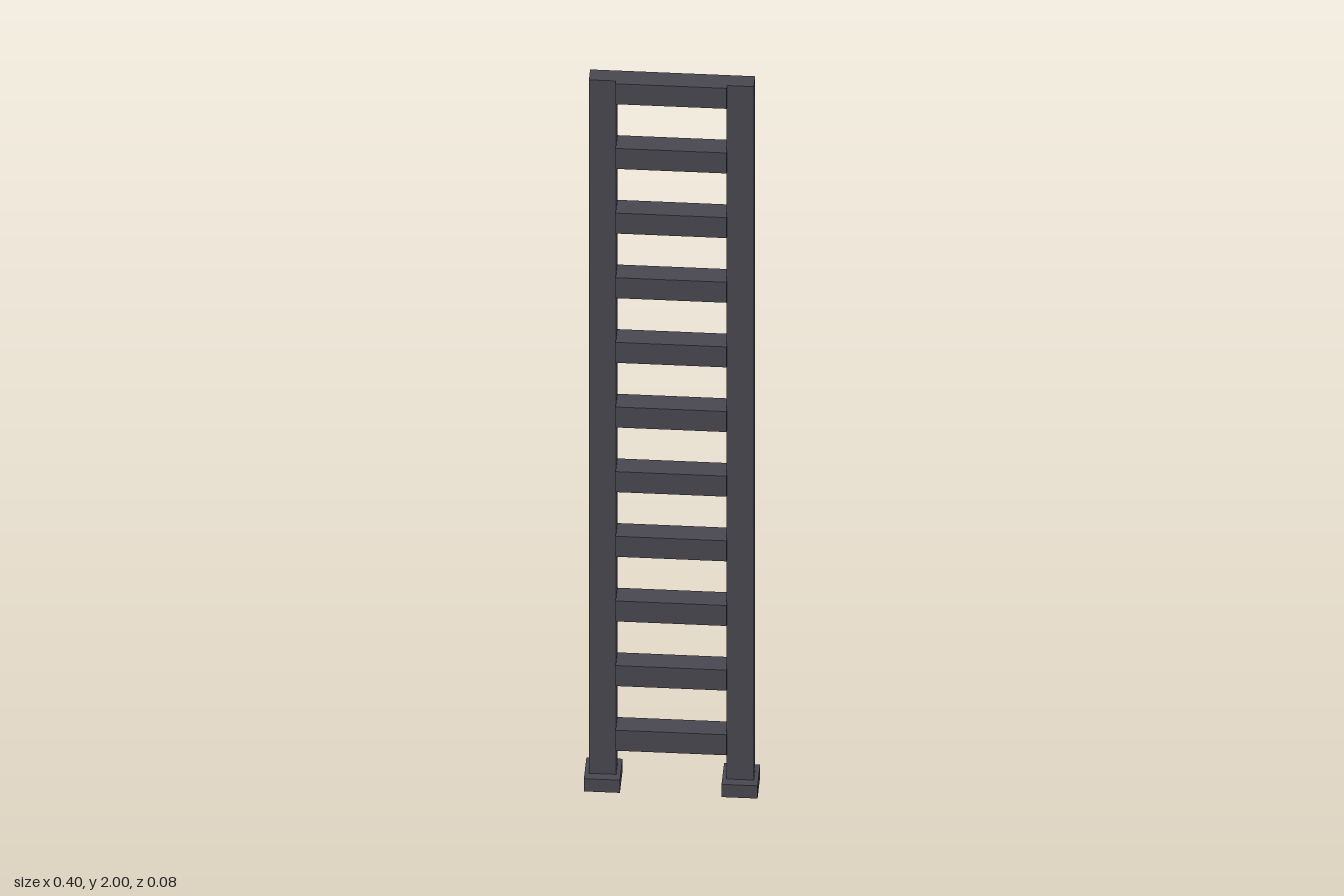
import * as THREE from 'three';

export function createModel() {
  const group = new THREE.Group();
  const metal = new THREE.MeshStandardMaterial({ color: 0x48474f });
  metal.name = 'dark grey metal';

  // Box given by its lower and upper limits on each axis
  const box = (name, [x0, x1], [y0, y1], [z0, z1]) => {
    const mesh = new THREE.Mesh(new THREE.BoxGeometry(x1 - x0, y1 - y0, z1 - z0), metal);
    mesh.position.set((x0 + x1) / 2, (y0 + y1) / 2, (z0 + z1) / 2);
    mesh.name = name;
    group.add(mesh);
  };

  // Side rails standing on square feet
  for (const [side, s] of [['left', 1], ['right', -1]]) {
    const span = (a, b) => (s > 0 ? [a, b] : [-b, -a]);
    box(side + 'Rail', span(0.127, 0.19), [0.036, 2], [-0.022, 0.019]);
    box(side + 'Foot', span(0.117, 0.2), [0, 0.036], [-0.043, 0.041]);
  }

  // Evenly spaced rungs, flush with the rails behind and proud in front
  const count = 11, height = 0.058, first = 0.111;
  const step = (2 - height - first) / (count - 1);
  for (let i = 0; i < count; i++) {
    const y = first + i * step;
    box('rung' + (i + 1), [-0.128, 0.128], [y, y + height], [-0.022, 0.03]);
  }
  return group;
}
